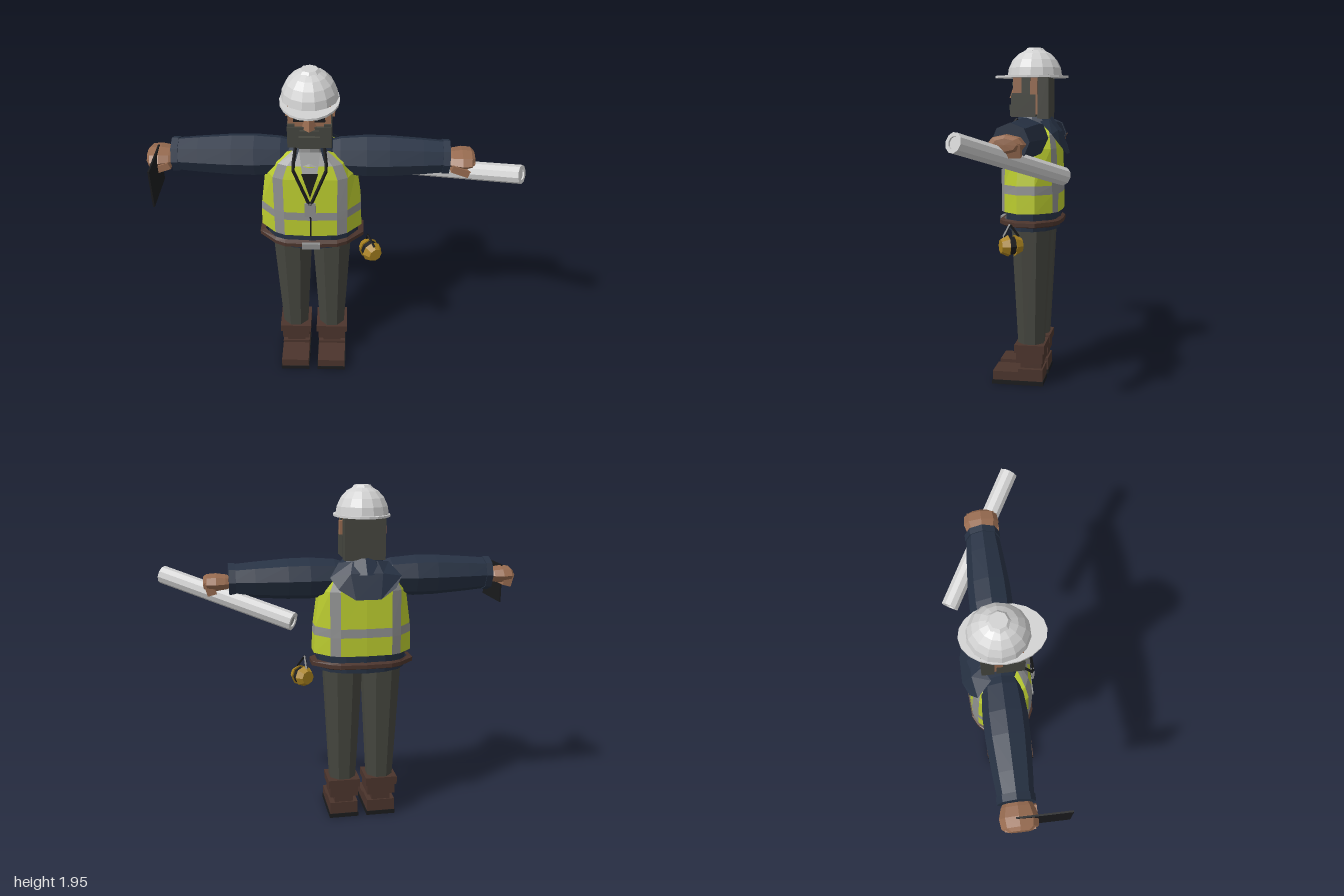
import * as THREE from 'three';

const mat = (name, color, side = THREE.FrontSide) => {
  const m = new THREE.MeshStandardMaterial({ color, flatShading: true, side });
  m.name = name;
  return m;
};

export function createModel() {
  const D = THREE.DoubleSide;
  const white = mat('hard hat white', 0xd2d2d2, D);
  const yellow = mat('safety yellow', 0xbacb2f, D);
  const navy = mat('shirt navy', 0x273244, D);
  const skin = mat('skin', 0x976b50);
  const hair = mat('charcoal', 0x45463f);
  const brown = mat('leather brown', 0x4b342c);
  const gray = mat('reflective gray', 0x8e8f8f, D);
  const black = mat('black', 0x1a1b1d, D);
  const gold = mat('ear cup gold', 0xa9821f);

  const model = new THREE.Group();
  model.name = 'worker';
  const body = new THREE.Group();
  body.name = 'body';
  body.position.x = -0.12;
  model.add(body);

  const add = (name, geo, m, x = 0, y = 0, z = 0, parent = body) => {
    const mesh = new THREE.Mesh(geo, m);
    mesh.name = name;
    mesh.position.set(x, y, z);
    parent.add(mesh);
    return mesh;
  };
  // box given by its limits
  const box = (name, m, x0, x1, y0, y1, z0, z1, parent = body) =>
    add(name, new THREE.BoxGeometry(x1 - x0, y1 - y0, z1 - z0), m,
      (x0 + x1) / 2, (y0 + y1) / 2, (z0 + z1) / 2, parent);
  // surface between rows of points, one mesh per material
  const loft = (name, rows, pick, closed) => {
    const buckets = new Map();
    for (let i = 0; i + 1 < rows.length; i++) {
      const n = rows[i].length;
      for (let j = 0; j < (closed ? n : n - 1); j++) {
        const k = (j + 1) % n, m = pick(i, j);
        const [a, b, c, d] = [rows[i][j], rows[i][k], rows[i + 1][k], rows[i + 1][j]];
        if (!buckets.has(m)) buckets.set(m, []);
        buckets.get(m).push(...a, ...b, ...c, ...a, ...c, ...d);
      }
    }
    for (const [m, pos] of buckets) {
      const g = new THREE.BufferGeometry();
      g.setAttribute('position', new THREE.Float32BufferAttribute(pos, 3));
      g.computeVertexNormals();
      add(name, g, m);
    }
  };
  // torso cross-section: half width, front depth, back depth
  const ring = (y, w, f, b) => {
    const si = Math.min(0.145, w * 0.6), so = Math.min(0.2, w * 0.85);
    const half = [[0, f], [si, f * 0.95], [so, f * 0.8], [w, f * 0.3],
      [w, b * 0.3], [so, b * 0.8], [si, b * 0.95], [0, b]];
    const mirror = half.slice(1, -1).reverse().map(([x, z]) => [-x, z]);
    return [...half, ...mirror].map(([x, z]) => [x, y, z]);
  };

  // vest with reflective band and braces
  const strips = [1, 5, 8, 12], chest = [0, 1, 12, 13];
  loft('vest', [
    ring(1.02, 0.28, 0.168, -0.175), ring(1.125, 0.277, 0.168, -0.175),
    ring(1.175, 0.273, 0.167, -0.173), ring(1.38, 0.245, 0.157, -0.163),
    ring(1.455, 0.2, 0.138, -0.148), ring(1.515, 0.11, 0.095, -0.12),
  ], (i, j) => (i === 1 || strips.includes(j) || (i === 4 && chest.includes(j)) ? gray : yellow), true);
  box('zip', black, -0.004, 0.004, 1.02, 1.17, 0.166, 0.172);

  // shirt hem, belt and buckle
  const hem = new THREE.CylinderGeometry(0.262, 0.25, 0.12, 14);
  hem.scale(1, 1, 0.62);
  add('shirtHem', hem, navy, 0, 0.975, -0.003);
  loft('belt', [
    ring(0.94, 0.262, 0.155, -0.16), ring(0.948, 0.293, 0.18, -0.18),
    ring(0.97, 0.293, 0.18, -0.18), ring(0.98, 0.262, 0.155, -0.16),
  ], () => brown, true);
  box('buckle', gray, -0.05, 0.05, 0.943, 0.977, 0.17, 0.19);

  // neck, collar and back flap
  add('neck', new THREE.CylinderGeometry(0.07, 0.08, 0.16, 8), skin, 0, 1.52, 0);
  add('undershirtCollar', new THREE.CylinderGeometry(0.08, 0.09, 0.1, 10), gray, 0, 1.48, 0);
  loft('undershirtFront', [
    [[-0.04, 1.42, 0.155], [0.04, 1.42, 0.155]],
    [[-0.055, 1.52, 0.1], [0.055, 1.52, 0.1]],
  ], () => gray, false);
  loft('neckline', [
    [[0, 1.28, 0.172], [0, 1.28, 0.172]],
    [[-0.045, 1.425, 0.16], [0.045, 1.425, 0.16]],
  ], () => black, false);
  add('collar', new THREE.CylinderGeometry(0.1, 0.16, 0.085, 10, 1, true, 0.5, Math.PI * 2 - 1), navy, 0, 1.515, -0.01);
  loft('backFlap', [
    [[0.16, 1.4, -0.175], [0.07, 1.345, -0.205], [-0.07, 1.345, -0.205], [-0.16, 1.4, -0.175]],
    [[0.2, 1.46, -0.135], [0.09, 1.48, -0.155], [-0.09, 1.48, -0.155], [-0.2, 1.46, -0.135]],
    [[0.14, 1.53, -0.06], [0.07, 1.54, -0.1], [-0.07, 1.54, -0.1], [-0.14, 1.53, -0.06]],
  ], () => navy, false);

  // lanyard and badge
  for (const s of [-1, 1]) {
    const path = new THREE.CurvePath();
    const p = [[0.075, 1.545, 0.08], [0.09, 1.45, 0.155], [0.004, 1.24, 0.18]]
      .map(([x, y, z]) => new THREE.Vector3(x * s, y, z));
    path.add(new THREE.LineCurve3(p[0], p[1]));
    path.add(new THREE.LineCurve3(p[1], p[2]));
    add('lanyard', new THREE.TubeGeometry(path, 8, 0.009, 4), black);
  }
  box('badge', gray, -0.03, 0.03, 1.165, 1.25, 0.174, 0.186);

  // head, hair and beard
  box('head', skin, -0.11, 0.11, 1.57, 1.79, -0.05, 0.1);
  box('backHair', hair, -0.114, 0.114, 1.545, 1.79, -0.105, -0.04);
  box('beard', hair, -0.115, 0.115, 1.555, 1.675, -0.03, 0.112);
  box('chinBeard', hair, -0.055, 0.055, 1.56, 1.625, 0.1, 0.13);
  box('moustache', hair, -0.05, 0.05, 1.635, 1.66, 0.1, 0.124);
  const nose = new THREE.CylinderGeometry(0.012, 0.042, 0.085, 4);
  add('nose', nose, skin, 0, 1.705, 0.1);
  for (const s of [-1, 1]) {
    const side = (name, m, a, b, ...r) => box(name, m, Math.min(a * s, b * s), Math.max(a * s, b * s), ...r);
    side('cheekBeard', hair, 0.075, 0.114, 1.67, 1.69, -0.03, 0.108);
    side('sideburn', hair, 0.1, 0.117, 1.69, 1.78, 0, 0.05);
    side('ear', skin, 0.1, 0.13, 1.68, 1.755, -0.04, 0);
    side('eye', black, 0.028, 0.082, 1.702, 1.73, 0.097, 0.104);
    side('eyebrow', hair, 0.024, 0.09, 1.733, 1.75, 0.095, 0.11);
  }

  // hard hat: dome, crown cap and brim
  const dome = new THREE.SphereGeometry(1, 14, 5, 0, Math.PI * 2, 0, Math.PI / 2);
  dome.scale(0.15, 0.16, 0.158);
  add('hatDome', dome, white, 0, 1.783, -0.008);
  add('hatCap', new THREE.CylinderGeometry(0.045, 0.06, 0.016, 8), white, 0, 1.937, -0.008);
  const brimShape = new THREE.Shape();
  brimShape.absellipse(0, -0.012, 0.156, 0.214, 0, Math.PI * 2);
  const brim = new THREE.ExtrudeGeometry(brimShape, { depth: 0.012, bevelEnabled: false, curveSegments: 10 });
  brim.rotateX(-Math.PI / 2);
  add('hatBrim', brim, white, 0, 1.776, 0);

  // arms and hands, turned outward from lathe profiles
  const limb = (name, m, s, profile, y, z, sy = 1, sz = 1) => {
    const g = new THREE.LatheGeometry(profile.map(([r, t]) => new THREE.Vector2(r, t)), 8);
    g.rotateZ(-s * Math.PI / 2);
    g.scale(1, sy, sz);
    return add(name, g, m, 0, y, z);
  };
  for (const s of [-1, 1]) {
    limb('sleeve', navy, s, [[0, 0.06], [0.08, 0.08], [0.104, 0.16], [0.115, 0.3], [0.113, 0.42],
      [0.1, 0.6], [0.088, 0.73], [0, 0.735]], 1.44, -0.008);
    limb('cuff', navy, s, [[0, 0.705], [0.096, 0.705], [0.096, 0.742], [0, 0.742]], 1.44, -0.008);
    limb('hand', skin, s, [[0.06, 0.72], [0.082, 0.76], [0.096, 0.81], [0.09, 0.86], [0.06, 0.878], [0, 0.88]],
      1.432, -0.005, 0.52, 1);
    const fingers = box('fingers', skin, -0.025, 0.025, -0.045, 0.03, -0.075, 0.075);
    fingers.position.set(s * 0.842, 1.41, -0.005);
    fingers.rotation.z = -s * 0.25;
    const thumb = box('thumb', skin, -0.05, 0.05, -0.02, 0.02, -0.018, 0.018);
    thumb.position.set(s * 0.8, 1.4, 0.07);
    thumb.rotation.z = -s * 0.35;
  }

  // legs and stepped boots
  for (const s of [-1, 1]) {
    const leg = new THREE.CylinderGeometry(0.121, 0.08, 0.74, 8);
    leg.rotateY(Math.PI / 8);
    add('trouserLeg', leg, hair, s * 0.112, 0.59, -0.008);
    const boot = new THREE.Group();
    boot.name = 'boot';
    boot.position.x = s * 0.112;
    body.add(boot);
    box('bootCuff', brown, -0.094, 0.094, 0.195, 0.243, -0.096, 0.08, boot);
    box('bootShaft', brown, -0.083, 0.083, 0.133, 0.197, -0.086, 0.07, boot);
    box('bootAnkle', brown, -0.055, 0.055, 0.09, 0.135, -0.076, 0.048, boot);
    box('bootHeel', brown, -0.083, 0.083, 0.024, 0.096, -0.085, 0.058, boot);
    box('bootToe', brown, -0.083, 0.083, 0.024, 0.077, 0.05, 0.21, boot);
    box('bootSole', black, -0.087, 0.087, 0, 0.025, -0.088, 0.213, boot);
  }

  // ear defenders hanging from the belt
  const muffs = new THREE.Group();
  muffs.name = 'earDefenders';
  muffs.position.set(0.215, 0.852, 0.07);
  muffs.rotation.y = 0.5;
  model.add(muffs);
  for (const s of [-1, 1]) {
    const cup = new THREE.CylinderGeometry(0.04, 0.06, 0.042, 8);
    cup.rotateX(s * Math.PI / 2);
    add('earCup', cup, gold, 0, 0, s * 0.039, muffs);
    const pad = new THREE.CylinderGeometry(0.05, 0.05, 0.018, 8);
    pad.rotateX(Math.PI / 2);
    add('earPad', pad, black, 0, 0, s * 0.009, muffs);
    const strap = new THREE.LineCurve3(new THREE.Vector3(0, 0.05, s * 0.045), new THREE.Vector3(-0.02, 0.115, 0));
    add('earBand', new THREE.TubeGeometry(strap, 1, 0.007, 4), black, 0, 0, 0, muffs);
  }

  // clipboard in the right hand
  box('clipboard', black, -0.945, -0.936, 1.268, 1.487, -0.02, 0.256, model);

  // rolled plans in the left hand
  const a = new THREE.Vector3(0.295, 1.248, -0.228), b = new THREE.Vector3(0.98, 1.452, 0.182);
  const len = a.distanceTo(b);
  const roll = new THREE.LatheGeometry([[0.03, 0.008], [0.03, 0], [0.05, 0], [0.05, len], [0.03, len], [0.03, len - 0.008], [0, len - 0.008]]
    .map(([r, t]) => new THREE.Vector2(r, t)), 10);
  const plans = add('rolledPlans', roll, white, a.x, a.y, a.z, model);
  plans.quaternion.setFromUnitVectors(new THREE.Vector3(0, 1, 0), b.clone().sub(a).normalize());
  const core = add('rollCore', new THREE.CylinderGeometry(0.03, 0.03, len - 0.016, 10), gray, 0, len / 2, 0, plans);
  core.name = 'rollCore';

  return model;
}
